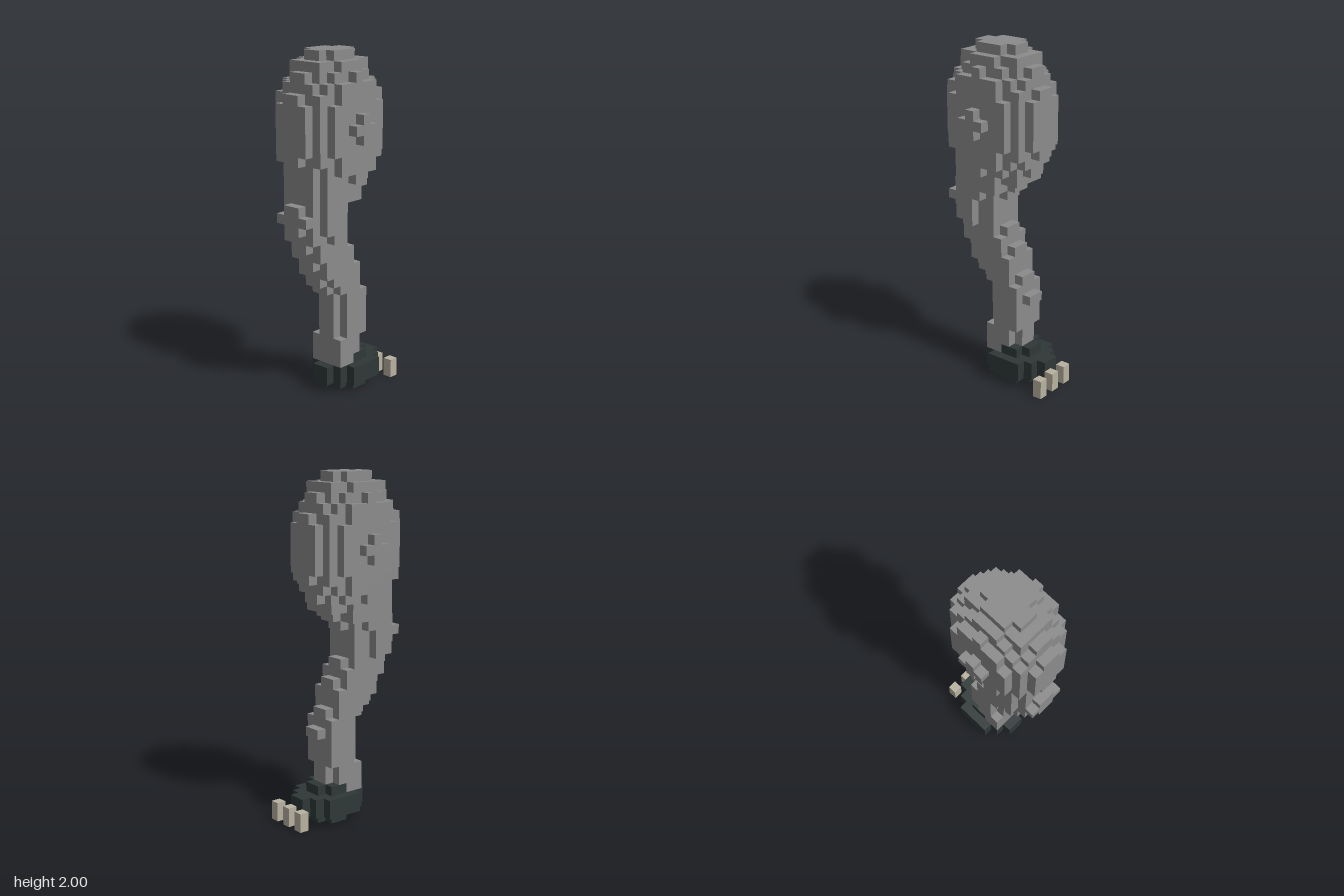
import * as THREE from 'three';

const U = 1 / 18; // one block; x is centred, z block index 0 is the rearmost
const MID_Z = 6.5;

// Limb slices: [first layer, last layer, back, front, half width, narrow back row, narrow front row]
const SHIN = [
  [3, 5, 4, 8, 2, 1, 0],
  [6, 10, 4, 8, 2, 0, 1],
  [9, 9, 3, 4, 1, 0, 0], // heel spur
  [11, 11, 4, 9, 2, 1, 1],
  [12, 12, 5, 10, 2, 0, 1],
  [13, 13, 5, 10, 2, 0, 0],
  [14, 14, 5, 11, 2, 1, 1],
  [15, 15, 6, 11, 2, 0, 0],
  [16, 16, 6, 12, 2, 1, 1],
];
const KNEE = [
  [17, 20, 7, 12, 2, 0, 0],
  [17, 17, 9, 10, 3, 0, 0],
  [18, 19, 9, 11, 3, 0, 0],
  [20, 20, 8, 11, 3, 0, 0],
  [20, 20, 6, 7, 1, 0, 0],
  [21, 22, 6, 11, 3, 0, 0],
  [23, 24, 7, 11, 3, 0, 0],
  [21, 24, 11, 12, 2, 0, 0],
  [18, 20, 12, 13, 1, 0, 0], // kneecap
  [19, 19, 12, 13, 2, 0, 0],
];
const FOOT = [
  [0, 0, 3, 7, 2, 1, 1],
  [1, 2, 1, 9, 1, 0, 0],
  [1, 2, 2, 8, 2, 0, 0],
  [1, 2, 3, 7, 3, 0, 0],
  [3, 3, 3, 6, 2, 1, 0],
];

export function createModel() {
  const group = new THREE.Group();
  group.name = 'leg';
  const skin = new THREE.MeshStandardMaterial({ color: 0x8b8b8b });
  skin.name = 'grey skin';
  const dark = new THREE.MeshStandardMaterial({ color: 0x2e3737 });
  dark.name = 'dark foot';
  const horn = new THREE.MeshStandardMaterial({ color: 0xb8b2a0 });
  horn.name = 'pale claw';

  const blocks = new Map();
  const put = (x, y, z, part) => blocks.set(`${x},${y},${z}`, { x, y, z, part });

  const fillSlices = (slices, part) => {
    for (const [y0, y1, back, front, half, nb, nf] of slices)
      for (let y = y0; y <= y1; y++)
        for (let z = back; z < front; z++) {
          const h = half - (z === back ? nb : 0) - (z === front - 1 ? nf : 0);
          for (let x = -h; x < h; x++) put(x, y, z, part);
        }
  };
  fillSlices(SHIN, 'shin');
  fillSlices(KNEE, 'knee');

  // Thigh: an ellipsoid cut into blocks
  for (let y = 21; y < 36; y++)
    for (let z = 1; z < 14; z++)
      for (let x = -5; x < 5; x++) {
        const r = ((x + 0.5) / 4.6) ** 2 + ((y - 28) / 7.785) ** 2 + ((z - 7) / 5.547) ** 2;
        if (r <= 1) put(x, y, z, 'thigh');
      }

  fillSlices(FOOT, 'foot');

  // Three separate toe claws
  [-2, 0, 2].forEach((x, i) => {
    for (let y = 0; y < 2; y++) put(x, y, 0, `claw${i + 1}`);
  });

  // Emit only the faces that have no neighbouring block
  const faces = [];
  for (let axis = 0; axis < 3; axis++)
    for (const sign of [-1, 1]) {
      const n = [0, 0, 0];
      n[axis] = sign;
      const b = (axis + 1) % 3, c = (axis + 2) % 3;
      const corners = [[0, 0], [1, 0], [1, 1], [0, 1]].map(([s, t]) => {
        const p = [0, 0, 0];
        p[axis] = sign > 0 ? 1 : 0;
        p[b] = s;
        p[c] = t;
        return p;
      });
      if (sign < 0) corners.reverse();
      faces.push({ n, corners });
    }

  const parts = {};
  for (const { x, y, z, part } of blocks.values()) {
    const out = (parts[part] ??= { pos: [], nor: [] });
    for (const { n, corners } of faces) {
      if (blocks.has(`${x + n[0]},${y + n[1]},${z + n[2]}`)) continue;
      for (const i of [0, 1, 2, 0, 2, 3]) {
        const p = corners[i];
        out.pos.push((x + p[0]) * U, (y + p[1]) * U, (z + p[2] - MID_Z) * U);
        out.nor.push(...n);
      }
    }
  }

  for (const [name, { pos, nor }] of Object.entries(parts)) {
    const geo = new THREE.BufferGeometry();
    geo.setAttribute('position', new THREE.Float32BufferAttribute(pos, 3));
    geo.setAttribute('normal', new THREE.Float32BufferAttribute(nor, 3));
    const material = name === 'foot' ? dark : name.startsWith('claw') ? horn : skin;
    const mesh = new THREE.Mesh(geo, material);
    mesh.name = name;
    group.add(mesh);
  }
  return group;
}
